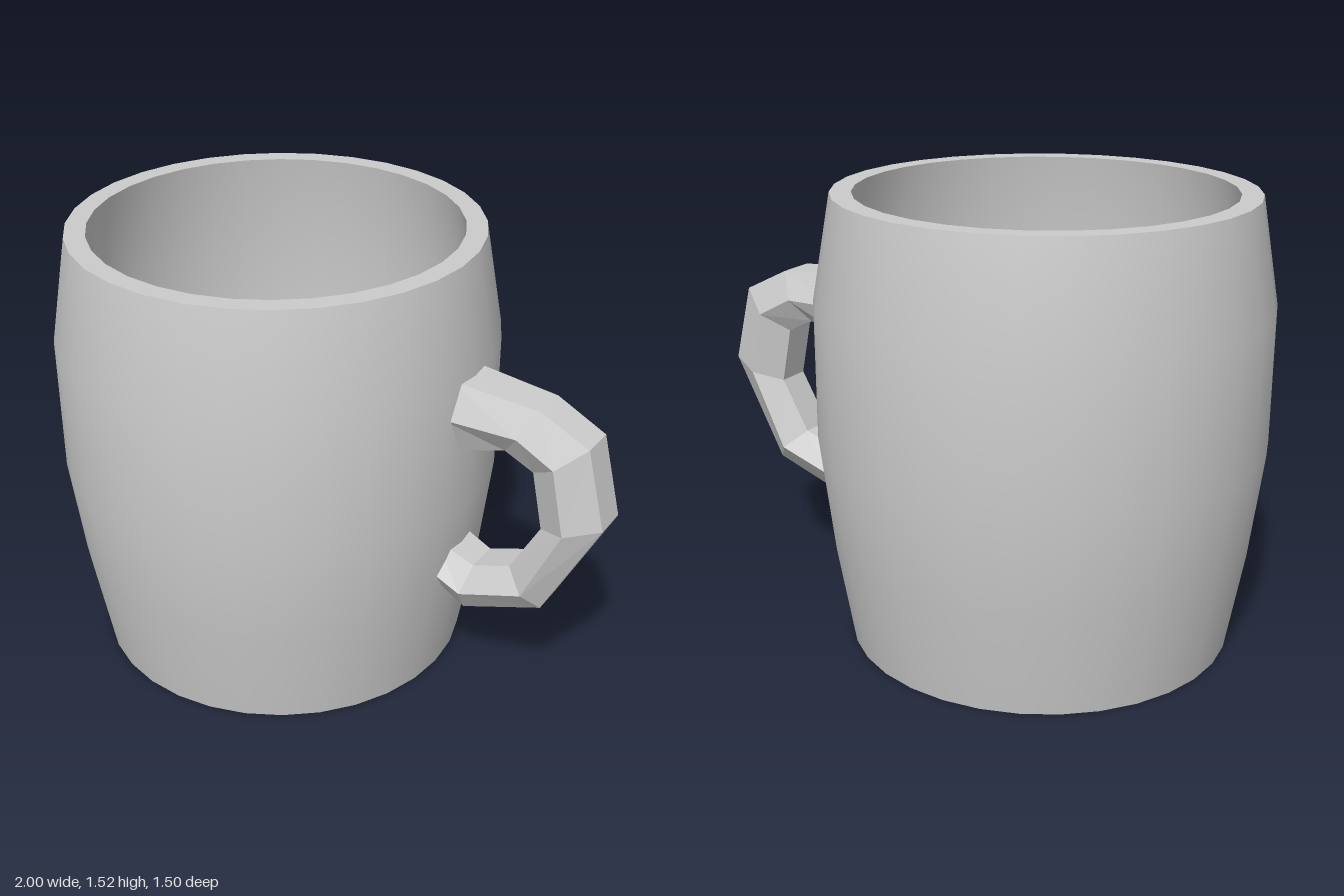
import * as THREE from 'three';

const CUP_X = -0.25;

// One smooth band of the cup, turned around its axis
function turned(name, profile, material) {
  const points = profile.map(([r, y]) => new THREE.Vector2(r, y));
  const mesh = new THREE.Mesh(new THREE.LatheGeometry(points, 32), material);
  mesh.name = name;
  return mesh;
}

// Six-sided bar lofted through rings of outer, middle and inner edges
function handleGeometry() {
  // outer x,y | middle x,y | inner x,y | half widths of edge and middle
  const stations = [
    [0.46, 1.174, 0.46, 1.06, 0.46, 0.925, 0.077, 0.132],
    [0.76, 1.145, 0.71, 1.055, 0.65, 0.975, 0.064, 0.116],
    [0.93, 1.06, 0.84, 0.985, 0.75, 0.925, 0.06, 0.116],
    [0.997, 0.79, 0.887, 0.76, 0.79, 0.73, 0.06, 0.116],
    [0.81, 0.43, 0.76, 0.49, 0.69, 0.55, 0.06, 0.116],
    [0.53, 0.327, 0.54, 0.415, 0.56, 0.505, 0.06, 0.118],
    [0.43, 0.4, 0.43, 0.48, 0.43, 0.56, 0.07, 0.132],
  ];
  const positions = [];
  for (const [ox, oy, mx, my, ix, iy, w, m] of stations) {
    positions.push(ox, oy, w, mx, my, m, ix, iy, w, ix, iy, -w, mx, my, -m, ox, oy, -w);
  }
  const index = [];
  for (let i = 0; i < stations.length - 1; i++) {
    for (let j = 0; j < 6; j++) {
      const a = i * 6 + j, b = i * 6 + (j + 1) % 6;
      index.push(a, b, b + 6, a, b + 6, a + 6);
    }
  }
  // End caps, buried in the cup wall
  const last = (stations.length - 1) * 6;
  for (let j = 1; j < 5; j++) {
    index.push(0, j + 1, j, last, last + j, last + j + 1);
  }
  const geometry = new THREE.BufferGeometry();
  geometry.setAttribute('position', new THREE.Float32BufferAttribute(positions, 3));
  geometry.setIndex(index);
  const flat = geometry.toNonIndexed();
  flat.computeVertexNormals();
  return flat;
}

export function createModel() {
  const model = new THREE.Group();
  model.name = 'mug';
  const smooth = new THREE.MeshStandardMaterial({ color: 0xcccccc });
  const faceted = new THREE.MeshStandardMaterial({ color: 0xcccccc, flatShading: true });

  // Barrel-shaped cup, in bands so that the rim and base edges stay sharp
  const cup = new THREE.Group();
  cup.name = 'cup';
  cup.position.x = CUP_X;
  cup.add(
    turned('base', [[0, 0], [0.65, 0]], smooth),
    turned('outerWall', [[0.65, 0], [0.71, 0.35], [0.752, 0.7], [0.752, 1.17], [0.69, 1.525]], smooth),
    turned('rim', [[0.69, 1.525], [0.62, 1.525]], smooth),
    turned('innerWall', [[0.62, 1.525], [0.68, 1.17], [0.68, 0.7], [0.64, 0.35], [0.58, 0.08]], smooth),
    turned('floor', [[0.58, 0.08], [0, 0.08]], smooth),
  );
  model.add(cup);

  // Handle on the model's left
  const handle = new THREE.Mesh(handleGeometry(), faceted);
  handle.name = 'handle';
  model.add(handle);

  return model;
}
